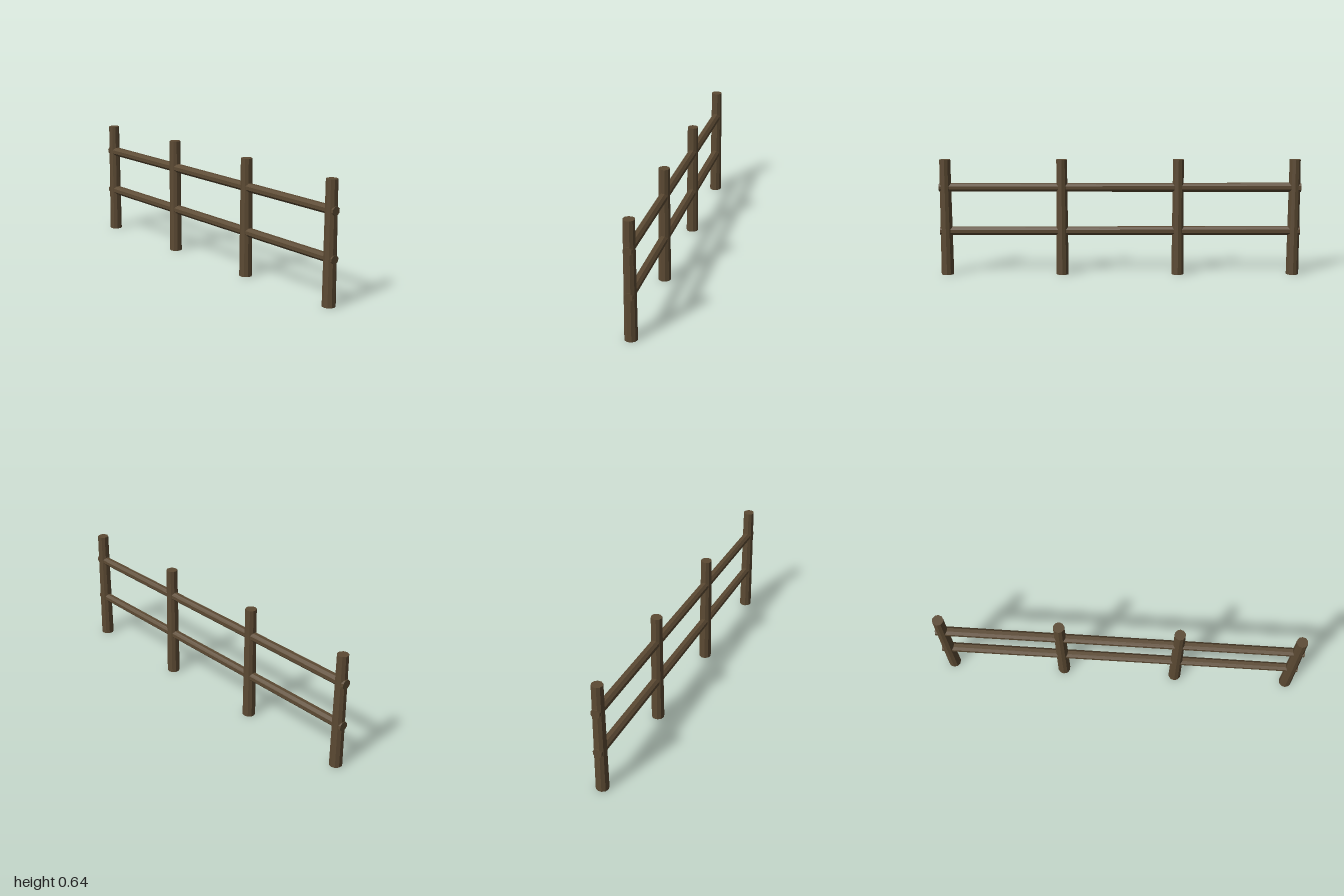
import * as THREE from 'three';

export function createModel() {
  const fence = new THREE.Group();
  fence.name = 'fence';
  const wood = new THREE.MeshStandardMaterial({ color: 0x5c4a33, flatShading: true });
  wood.name = 'brown wood';

  const add = (name, geometry, x, y) => {
    const mesh = new THREE.Mesh(geometry, wood);
    mesh.name = name;
    mesh.position.set(x, y, 0);
    fence.add(mesh);
  };

  // Four upright posts, slightly thicker at the foot
  const height = 0.645;
  const postGeometry = new THREE.CylinderGeometry(0.0305, 0.035, height, 10);
  for (let i = 0; i < 4; i++) add(`post${i + 1}`, postGeometry, -0.965 + i * 0.6433, height / 2);

  // Two long rails through the posts, tapering towards +x
  const railGeometry = new THREE.CylinderGeometry(0.0265, 0.0238, 2, 8);
  railGeometry.rotateY(Math.PI / 8).rotateZ(Math.PI / 2);
  add('lowerRail', railGeometry, 0, 0.246);
  add('upperRail', railGeometry, 0, 0.49);

  return fence;
}
